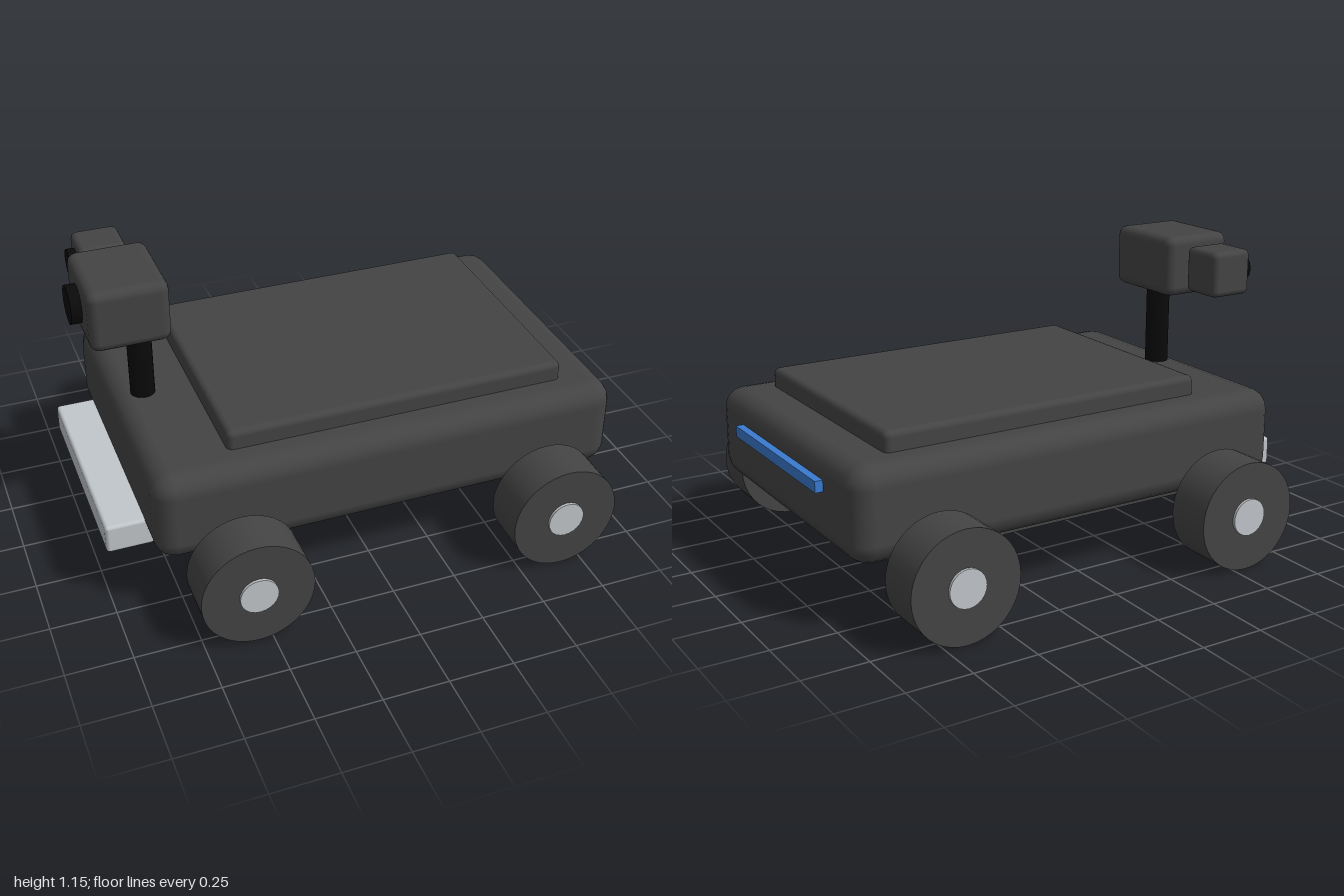
import * as THREE from 'three';
import { RoundedBoxGeometry } from 'three/addons/geometries/RoundedBoxGeometry.js';

const material = (name, color) => {
  const m = new THREE.MeshStandardMaterial({ color });
  m.name = name;
  return m;
};

export function createModel() {
  const model = new THREE.Group();
  model.name = 'rover';
  const charcoal = material('charcoal', 0x444444);
  const black = material('black', 0x0a0a0a);
  const silver = material('silver', 0xc2c7cb);
  const blue = material('blue', 0x3b7bd0);

  const add = (name, geometry, mat, x, y, z, parent = model) => {
    const mesh = new THREE.Mesh(geometry, mat);
    mesh.name = name;
    mesh.position.set(x, y, z);
    parent.add(mesh);
    return mesh;
  };
  // Box given by its min and max along each axis, rounded when r > 0
  const box = (name, mat, [x0, x1], [y0, y1], [z0, z1], r = 0, segments = 2) => {
    const size = [x1 - x0, y1 - y0, z1 - z0];
    const geometry = r ? new RoundedBoxGeometry(...size, segments, r) : new THREE.BoxGeometry(...size);
    return add(name, geometry, mat, (x0 + x1) / 2, (y0 + y1) / 2, (z0 + z1) / 2);
  };

  // Chassis
  box('body', charcoal, [-0.85, 0.97], [0.25, 0.608], [-0.605, 0.605], 0.08);
  box('lid', charcoal, [-0.545, 0.79], [0.58, 0.683], [-0.483, 0.483], 0.025);
  box('underPlate', charcoal, [-0.67, 0.79], [0.21, 0.27], [-0.483, 0.483]);
  box('bumper', silver, [-1, -0.82], [0.22, 0.336], [-0.423, 0.423], 0.014);
  box('lightStrip', blue, [0.96, 1], [0.467, 0.51], [-0.36, 0.36]);

  // Wheels with hubs showing on both faces
  const tyre = new THREE.CylinderGeometry(0.212, 0.212, 0.184, 40).rotateX(Math.PI / 2);
  const hub = new THREE.CylinderGeometry(0.072, 0.072, 0.205, 24).rotateX(Math.PI / 2);
  for (const x of [-0.55, 0.668]) {
    for (const side of [-1, 1]) {
      const wheel = new THREE.Group();
      wheel.name = 'wheel';
      wheel.position.set(x, 0.213, side * 0.728);
      add('tyre', tyre, charcoal, 0, 0, 0, wheel);
      add('hub', hub, silver, 0, 0, 0, wheel);
      model.add(wheel);
    }
  }

  // Mast carrying the camera head and its side camera
  add('mast', new THREE.CylinderGeometry(0.047, 0.047, 0.36, 24), black, -0.73, 0.77, 0);
  box('cameraHead', charcoal, [-0.94, -0.64], [0.915, 1.156], [-0.18, 0.18], 0.036);
  box('sideCamera', charcoal, [-0.88, -0.7], [0.945, 1.125], [-0.392, -0.214], 0.024);

  // Lenses pointing to -x
  const lens = (name, r, x0, x1, z) =>
    add(name, new THREE.CylinderGeometry(r, r, x1 - x0, 28).rotateZ(Math.PI / 2), black, (x0 + x1) / 2, 1.036, z);
  lens('mainLens', 0.073, -0.98, -0.92, 0);
  lens('sideLens', 0.055, -0.911, -0.86, -0.303);

  return model;
}
